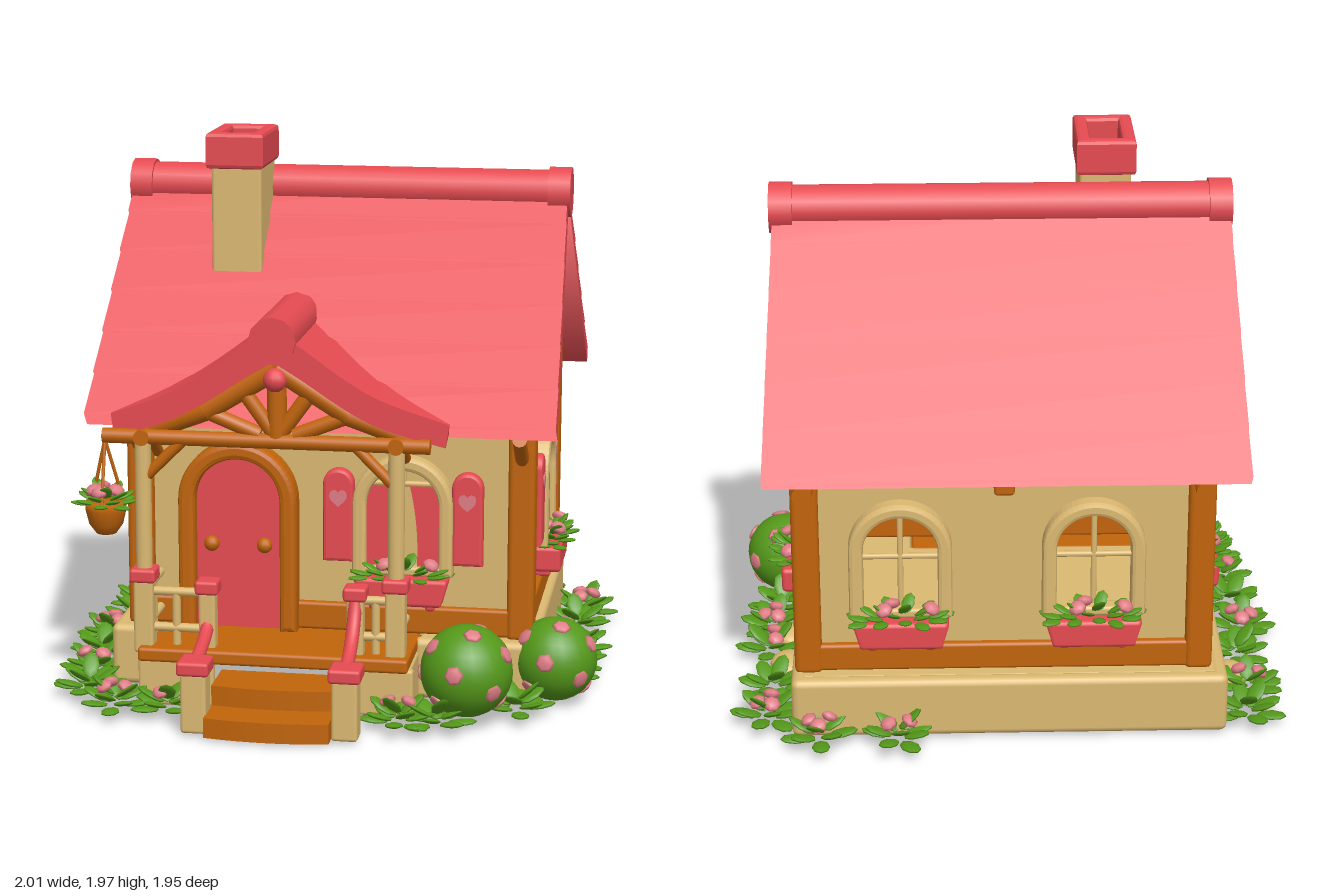
import * as THREE from 'three';
import { mergeGeometries } from 'three/addons/utils/BufferGeometryUtils.js';
import { RoundedBoxGeometry } from 'three/addons/geometries/RoundedBoxGeometry.js';

const mat = (name, color) => {
  const m = new THREE.MeshStandardMaterial({ color });
  m.name = name;
  return m;
};
const red = mat('rose red', 0xe64b51), pink = mat('petal pink', 0xe07d86), brown = mat('warm wood', 0xc2650b);
const cream = mat('cream stone', 0xdcb972), green = mat('leaf green', 0x55991a), shade = mat('window shade', 0x9c7a52);
const CX = 0.03, RIDGE = -0.175, SLOPE = 1.04;
const V = (...p) => new THREE.Vector3(...p);
const poly = (pts, T = THREE.Shape) => new T(pts.map(q => new THREE.Vector2(...q)));

function add(parent, name, geo, material, pos = [0, 0, 0]) {
  const m = new THREE.Mesh(geo, material);
  m.name = name;
  m.position.set(...pos);
  parent.add(m);
  return m;
}
function box(parent, name, material, size, pos, r = 0.012) {
  return add(parent, name, new RoundedBoxGeometry(...size, 2, Math.min(r, ...size.map(s => s * 0.45))), material, pos);
}
// round beam between two points
function beam(parent, name, material, a, b, r) {
  const from = V(...a), dir = V(...b).sub(from);
  const m = add(parent, name, new THREE.CylinderGeometry(r, r, dir.length(), 12), material);
  m.position.copy(from).addScaledVector(dir, 0.5);
  m.quaternion.setFromUnitVectors(V(0, 1, 0), dir.normalize());
  return m;
}
const extrude = (shape, depth, bevel = 0) => new THREE.ExtrudeGeometry(shape, {
  depth, curveSegments: 14, bevelEnabled: bevel > 0, bevelSize: bevel, bevelThickness: bevel, bevelOffset: -bevel, bevelSegments: 2 });

// round-topped outline and band
function arch(hw, y0, ys, x = 0, Type = THREE.Shape) {
  const s = new Type();
  s.moveTo(x - hw, y0); s.lineTo(x + hw, y0); s.lineTo(x + hw, ys);
  s.absarc(x, ys, hw, 0, Math.PI, false); s.lineTo(x - hw, y0);
  return s;
}
function archBand(ro, ri, y0, ys) {
  const s = new THREE.Shape();
  s.moveTo(ro, y0); s.lineTo(ro, ys); s.absarc(0, ys, ro, 0, Math.PI, false);
  s.lineTo(-ro, y0); s.lineTo(-ri, y0); s.lineTo(-ri, ys);
  s.absarc(0, ys, ri, Math.PI, 0, true); s.lineTo(ri, y0);
  return s;
}
function heart(s, Type = THREE.Shape) {
  const h = new Type();
  h.moveTo(0, 0.62 * s);
  h.bezierCurveTo(0.2 * s, 1.1 * s, s, 1.1 * s, s, 0.3 * s);
  h.bezierCurveTo(s, -0.3 * s, 0.3 * s, -0.6 * s, 0, -s);
  h.bezierCurveTo(-0.3 * s, -0.6 * s, -s, -0.3 * s, -s, 0.3 * s);
  h.bezierCurveTo(-s, 1.1 * s, -0.2 * s, 1.1 * s, 0, 0.62 * s);
  return h;
}

// tuft of arching leaves with a few flowers, spread over an oval
function foliage(parent, name, [x, y, z], rx, rz, n, size, flowers) {
  const leaves = [], blooms = [];
  for (let i = 0; i < n; i++) {
    const a = i * 2.4 + x * 7 + z * 5, t = Math.sqrt((i + 0.5) / n);
    leaves.push(new THREE.SphereGeometry(1, 8, 5).scale(0.36, 0.1, 0.6).translate(0, 0, 0.5).scale(size, size, size)
      .rotateX(-0.95 + 0.9 * t).rotateY(a).translate(Math.sin(a) * rx * t, (1 - t) * size * 0.6, Math.cos(a) * rz * t));
  }
  for (let i = 0; i < flowers; i++) {
    const a = i * 2.4 + 1 + x * 3;
    blooms.push(new THREE.SphereGeometry(0.031, 7, 5).scale(1, 0.6, 1).rotateX(0.5).rotateY(a)
      .translate(Math.sin(a) * rx * 0.9, size * 0.8, Math.cos(a) * rz * 0.9));
  }
  add(parent, name + 'Leaves', mergeGeometries(leaves), green, [x, y, z]);
  if (flowers) add(parent, name + 'Flowers', mergeGeometries(blooms), pink, [x, y, z]);
}

// arched window facing +z with planter; shutters at the given offset
function windowUnit(parent, name, pos, rot, shutter, pane) {
  const g = new THREE.Group();
  g.name = name; g.position.set(...pos); g.rotation.y = rot;
  parent.add(g);
  add(g, 'windowFrame', extrude(archBand(0.178, 0.128, 0.45, 0.7), 0.055, 0.014), cream, [0, 0, -0.01]);
  box(g, 'crossBar', cream, [0.27, 0.02, 0.02], [0, shutter ? 0.775 : 0.67, 0.015]);
  box(g, 'mullion', cream, shutter ? [0.02, 0.08, 0.02] : [0.02, 0.38, 0.02], [0, shutter ? 0.81 : 0.64, 0.015]);
  box(g, 'sill', cream, [0.34, 0.035, 0.06], [0, 0.465, 0.025]);
  if (shutter) {
    add(g, 'windowPane', new THREE.ShapeGeometry(arch(0.14, 0.46, 0.7)), cream, [0, 0, 0.004]);
    add(g, 'lowerPane', new THREE.PlaneGeometry(0.2, 0.29), pane, [0, 0.625, 0.012]);
    for (const s of [-1, 1]) {
      const c = new THREE.Shape();
      c.moveTo(0.14 * s, 0.47); c.lineTo(0.05 * s, 0.47);
      c.quadraticCurveTo(0.06 * s, 0.62, 0.025 * s, 0.77); c.lineTo(0.14 * s, 0.77);
      add(g, 'curtain', extrude(c, 0.008), red, [0, 0, 0.03]);
      add(g, 'shutter', extrude(arch(0.055, 0.49, 0.77), 0.025, 0.012), red, [s * shutter, 0, 0.012]);
      add(g, 'shutterHeart', extrude(heart(0.031), 0.006), pink, [s * shutter, 0.72, 0.047]);
    }
  }
  const planter = new RoundedBoxGeometry(0.33, 0.1, 0.1, 2, 0.015), p = planter.attributes.position;
  for (let i = 0; i < p.count; i++) if (p.getY(i) < 0) p.setX(i, p.getX(i) * 0.88);
  add(g, 'planter', planter, red, [0, 0.4, 0.055]);
  for (const s of [-1, 1]) box(g, 'planterBracket', red, [0.035, 0.04, 0.06], [s * 0.1, 0.345, 0.035]);
  foliage(g, 'planter', [0, 0.445, 0.065], 0.14, 0.03, 24, 0.068, 3);
}

function mainRoof(g) {
  // stepped shingle courses on both slopes, softly shaded, widening toward the eaves
  const N = 6, top = [], under = [[0, 1.71], [0.685, 0.985]];
  for (let i = 0; i < N; i++) {
    const a = 0.72 * i / N, b = 0.72 * (i + 1) / N;
    top.push([a, 1.77 - SLOPE * a], [b + 0.014, 1.77 - SLOPE * b + 0.014]);
  }
  const half = [...top, under[1]];
  const pts = [...half.slice().reverse().map(([u, v]) => [-u, v]), ...half.slice(1), under[0]];
  const geo = extrude(poly(pts.reverse()), 1.58).translate(0, 0, -0.79).rotateY(Math.PI / 2);
  const p = geo.attributes.position;
  for (let i = 0; i < p.count; i++) p.setX(i, p.getX(i) * (1 + 0.038 * (1.77 - p.getY(i)) / 0.75));
  geo.computeVertexNormals();
  const n = geo.attributes.normal;
  for (let i = 0; i < n.count; i++) {
    const s = Math.sign(p.getZ(i));
    if (Math.abs(n.getX(i)) < 0.3 && n.getZ(i) * s > 0) n.setXYZ(i, 0, 0.69, 0.72 * s);
  }
  add(g, 'mainRoof', geo, red, [0.022, 0, RIDGE]);
  beam(g, 'ridgeRoll', red, [-0.76, 1.745, RIDGE], [0.81, 1.745, RIDGE], 0.076);
  for (const x of [-0.735, 0.785]) beam(g, 'ridgeCap', red, [x - 0.04, 1.742, RIDGE], [x + 0.04, 1.742, RIDGE], 0.09);
  // gable timbers and hanging heart
  for (const x of [CX - 0.68, CX + 0.68]) {
    for (const s of [-1, 1]) beam(g, 'gableRafter', brown, [x, 1.69, RIDGE], [x, 1.0, RIDGE + s * 0.655], 0.028);
    beam(g, 'gablePost', brown, [x, 1.41, RIDGE - 0.02], [x, 1.69, RIDGE - 0.02], 0.025);
    const h = heart(0.142);
    h.holes.push(heart(0.085, THREE.Path));
    add(g, 'gableHeart', extrude(h, 0.05, 0.02).translate(0, 0, -0.025), brown, [x, 1.32, RIDGE - 0.02]).rotation.y = Math.PI / 2;
  }
  // chimney with hollow cap
  box(g, 'chimneyStack', cream, [0.18, 0.4, 0.27], [-0.34, 1.65, -0.012]);
  const rect = (T, w, d) => poly([[-w, -d], [w, -d], [w, d], [-w, d]], T);
  const cap = rect(THREE.Shape, 0.103, 0.155);
  cap.holes.push(rect(THREE.Path, 0.055, 0.11));
  add(g, 'chimneyCap', extrude(cap, 0.1, 0.014).rotateX(-Math.PI / 2), red, [-0.342, 1.854, -0.01]);
  box(g, 'chimneyInside', red, [0.14, 0.01, 0.25], [-0.342, 1.852, -0.01]);
}

function porchRoof(g) {
  // swept roof whose back is cut to the main slope and whose front eaves angle back
  const X = -0.11, prof = [[0, 1.375], [0.1, 1.31], [0.25, 1.205], [0.4, 1.12], [0.59, 1.04]];
  const right = new THREE.CatmullRomCurve3(prof.map(([u, v]) => V(u, v, 0))).getPoints(12);
  const topLine = [...right.slice().reverse().map(q => [-q.x, q.y]), ...right.slice(1).map(q => [q.x, q.y])];
  const low = topLine.map(([u, v]) => [u * 0.98, v - 0.115 + 0.06 * Math.abs(u)]).reverse();
  const geo = extrude(poly([...topLine, ...low]), 1);
  const p = geo.attributes.position, n = geo.attributes.normal;
  const frontCap = i => n.getZ(i) > 0.9;
  for (let i = 0; i < p.count; i++) {
    const back = p.getZ(i) < 0.5, u = Math.abs(p.getX(i));
    p.setZ(i, back ? RIDGE + (1.73 - p.getY(i)) / SLOPE : 0.67 - Math.max(0, u - 0.33) * 0.4);
    if (frontCap(i)) n.setXYZ(i, 0, 0, 1);
  }
  add(g, 'porchRoof', geo, red, [X, 0, 0]);
  beam(g, 'porchRidgeRoll', red, [X, 1.335, 0.1], [X, 1.335, 0.685], 0.082);
  // porch gable timbers
  const Z = 0.59;
  beam(g, 'porchBeam', brown, [-0.72, 0.97, 0.6], [0.42, 0.97, 0.6], 0.027);
  beam(g, 'porchKingPost', brown, [X, 0.98, Z], [X, 1.25, Z], 0.034);
  for (const s of [-1, 1]) {
    beam(g, 'porchRafter', brown, [X, 1.225, Z], [X + s * 0.25, 1.07, Z], 0.04);
    beam(g, 'porchRafter', brown, [X + s * 0.24, 1.07, Z], [X + s * 0.48, 0.97, 0.53], 0.036);
    beam(g, 'porchStrut', brown, [X, 0.98, Z], [X + s * 0.13, 1.16, Z], 0.027);
    beam(g, 'porchStrut', brown, [X + s * 0.06, 0.99, Z], [X + s * 0.26, 1.07, Z], 0.027);
  }
  add(g, 'porchKeystone', new THREE.SphereGeometry(0.042, 12, 8), red, [X, 1.19, 0.625]);
}

function porch(g) {
  box(g, 'porchDeck', brown, [0.95, 0.05, 0.47], [-0.12, 0.205, 0.435]);
  for (const x of [-0.575, 0.335]) box(g, 'porchSkirt', cream, [0.05, 0.17, 0.26], [x, 0.1, 0.51]);
  for (const x of [-0.46, 0.24]) box(g, 'porchFrontSkirt', cream, [0.26, 0.17, 0.04], [x, 0.1, 0.62]);
  // bowed steps
  for (const [top, z0, d] of [[0.15, 0.62, 0.18], [0.08, 0.76, 0.18]]) {
    const s = new THREE.Shape();
    s.moveTo(-0.215, 0); s.lineTo(0.215, 0); s.lineTo(0.215, d); s.quadraticCurveTo(0, d + 0.04, -0.215, d);
    add(g, 'step', extrude(s, top - 0.01).rotateX(Math.PI / 2), brown, [-0.09, top, z0]);
  }
  for (const [outer, inner, s, railTop] of [[-0.58, -0.355, 1, 0.31], [0.305, 0.165, -1, 0.43]]) {
    const newel = (x, z, y0, y1, w) => {
      box(g, 'newel', cream, [w, y1 - y0, w], [x, (y0 + y1) / 2, z]);
      box(g, 'newelCap', red, [w + 0.022, 0.05, w + 0.022], [x, y1 + 0.015, z]);
    };
    newel(outer, 0.6, 0.2, 0.465, 0.07);
    newel(inner, 0.6, 0.2, 0.43, 0.06);
    newel(inner + 0.008, 0.865, 0.01, 0.225, 0.09);
    beam(g, 'porchPost', cream, [outer, 0.45, 0.6], [outer, 0.98, 0.6], 0.029);
    beam(g, 'postBrace', brown, [outer, 0.82, 0.6], [outer + s * 0.14, 0.96, 0.6], 0.02);
    beam(g, 'sideBeam', brown, [outer, 0.97, 0.33], [outer, 0.97, 0.63], 0.028);
    beam(g, 'sideBrace', brown, [outer, 0.86, 0.36], [outer, 0.96, 0.5], 0.02);
    for (const y of [0.29, 0.42]) {
      beam(g, 'frontRail', cream, [outer, y, 0.6], [inner, y, 0.6], 0.016);
      beam(g, 'sideRail', cream, [outer, y, 0.36], [outer, y, 0.6], 0.016);
    }
    beam(g, 'baluster', cream, [outer, 0.23, 0.47], [outer, 0.42, 0.47], 0.015);
    beam(g, 'baluster', cream, [(outer + inner) / 2, 0.23, 0.6], [(outer + inner) / 2, 0.42, 0.6], 0.015);
    const sag = new THREE.QuadraticBezierCurve3(V(inner, railTop, 0.61), V(inner, 0.26, 0.66), V(inner, 0.23, 0.86));
    add(g, 'stairRail', new THREE.TubeGeometry(sag, 10, 0.024, 10), red);
  }
  // hanging basket
  const bx = -0.72, bz = 0.575;
  const bowl = [[0, 0.61], [0.035, 0.615], [0.06, 0.65], [0.072, 0.7], [0.072, 0.73], [0, 0.73]].map(q => new THREE.Vector2(...q));
  add(g, 'basketPot', new THREE.LatheGeometry(bowl, 16), brown, [bx, 0, bz]);
  for (const a of [0, 2.1, 4.2]) beam(g, 'basketCord', brown, [bx + Math.sin(a) * 0.065, 0.72, bz + Math.cos(a) * 0.065], [bx, 0.95, bz], 0.006);
  foliage(g, 'basket', [bx, 0.715, bz], 0.05, 0.05, 18, 0.07, 4);
}

function house(g) {
  // open-bottomed foundation ring, leaving a gap in front for the porch
  for (const x of [-0.72, 0.74]) box(g, 'foundationSide', cream, [0.06, 0.22, 1.24], [x, 0.12, -0.205], 0.025);
  box(g, 'foundationBack', cream, [1.52, 0.22, 0.06], [0.01, 0.12, -0.795], 0.025);
  for (const [x, w] of [[-0.65, 0.2], [0.555, 0.43]]) box(g, 'foundationFront', cream, [w, 0.22, 0.06], [x, 0.12, 0.385], 0.025);
  box(g, 'floorSlab', cream, [1.46, 0.02, 1.0], [0.01, 0.218, -0.28]);
  for (const [x, w] of [[0.55, 0.38], [-0.66, 0.16]]) box(g, 'foundationLedge', cream, [w, 0.02, 0.2], [x, 0.218, 0.3]);
  const wall = (w, h, pos, rot, holes = []) => {
    const s = poly([[-w, 0.22], [w, 0.22], [w, h], [-w, h]]);
    s.holes = holes.map(x => arch(0.14, 0.46, 0.69, x, THREE.Path));
    add(g, 'wall', new THREE.ShapeGeometry(s), cream, pos).rotation.y = rot;
  };
  wall(0.68, 1.14, [CX, 0, 0.33], 0);
  wall(0.68, 1.14, [CX, 0, -0.72], Math.PI, [-0.355, 0.31]);
  for (const s of [-1, 1]) {
    const x = CX + s * 0.68;
    wall(0.525, 1.08, [x, 0, -0.195], s * Math.PI / 2);
    box(g, 'sideSill', brown, [0.07, 0.1, 1.06], [x, 0.28, -0.195]);
    box(g, 'sidePlate', brown, [0.09, 0.1, 1.11], [x, 1.05, -0.195], 0.03);
    beam(g, 'eaveBeam', brown, [x, 0.95, -0.7], [x, 0.95, -0.85], 0.035);
    beam(g, 'eaveBeam', brown, [x, 0.98, 0.3], [x, 0.98, 0.45], 0.033);
    for (const z of [0.31, -0.7]) box(g, 'cornerPost', brown, [0.095, 0.88, 0.105], [x, 0.66, z], 0.02);
    beam(g, 'eaveBrace', brown, [x, 0.87, 0.34], [x, 0.97, 0.46], 0.025);
    windowUnit(g, 'sideWindow', [x, 0, -0.235], s * Math.PI / 2, 0.258, shade);
  }
  for (const z of [0.325, -0.715]) box(g, 'longSill', brown, [1.36, 0.1, 0.06], [CX, 0.28, z]);
  box(g, 'rearBeamEnd', brown, [0.07, 0.08, 0.14], [CX, 0.98, -0.77]);
  windowUnit(g, 'frontWindow', [0.295, 0, 0.33], 0, 0.228, cream);
  for (const x of [0.385, -0.28]) windowUnit(g, 'backWindow', [x, 0, -0.72], Math.PI, 0);
  add(g, 'door', extrude(arch(0.165, 0.23, 0.69), 0.02), red, [-0.29, 0, 0.345]);
  add(g, 'doorFrame', extrude(archBand(0.212, 0.152, 0.23, 0.7), 0.06, 0.018), brown, [-0.29, 0, 0.34]);
  for (const x of [-0.385, -0.195]) add(g, 'doorKnob', new THREE.SphereGeometry(0.028, 12, 8), brown, [x, 0.54, 0.385]);
}

function garden(g) {
  for (const [x, y, z, r] of [[0.555, 0.195, 0.63, 0.16], [0.835, 0.16, 0.335, 0.148]]) {
    add(g, 'roundBush', new THREE.SphereGeometry(r, 24, 16), green, [x, y, z]);
    for (let i = 0; i < 12; i++) {
      const v = 0.9 - 1.6 * i / 11, a = i * 2.4 + 0.4, q = Math.sqrt(1 - v * v), d = V(Math.sin(a) * q, v, Math.cos(a) * q);
      add(g, 'bushFlower', new THREE.SphereGeometry(0.034, 6, 4).scale(1, 0.3, 1), pink,
        [x + d.x * r, y + d.y * r, z + d.z * r]).quaternion.setFromUnitVectors(V(0, 1, 0), d);
    }
  }
  // tufts around the foundation: x, z, flowers
  const tufts = [[-0.83, -0.72, 0], [-0.85, -0.55, 2], [-0.83, -0.3, 0], [-0.87, -0.1, 3], [-0.85, 0.12, 0], [-0.83, 0.32, 2],
    [-0.8, 0.53, 0], [-0.67, 0.69, 3], [-0.48, 0.7, 1], [0.86, -0.7, 3], [0.85, -0.5, 0], [0.87, -0.22, 2], [0.87, -0.04, 3],
    [0.84, 0.12, 0], [0.33, 0.72, 2], [0.46, 0.71, 0], [0.72, 0.52, 0], [0.4, -0.86, 2], [0.67, -0.85, 3]];
  for (const [x, z, f] of tufts) foliage(g, 'groundPlant', [x, 0.025, z], 0.045, 0.045, 12, 0.09, f);
  for (const [x, z] of [[-0.79, -0.46], [0.8, -0.12], [0.8, -0.34]])
    add(g, 'stone', new THREE.SphereGeometry(1, 12, 8).scale(0.07, 0.04, 0.08), cream, [x, 0.04, z]);
}

export function createModel() {
  const model = new THREE.Group();
  model.name = 'cottage';
  for (const [name, build] of Object.entries({ house, mainRoof, porchRoof, porch, garden })) {
    const g = new THREE.Group();
    g.name = name;
    build(g);
    model.add(g);
  }
  return model;
}
